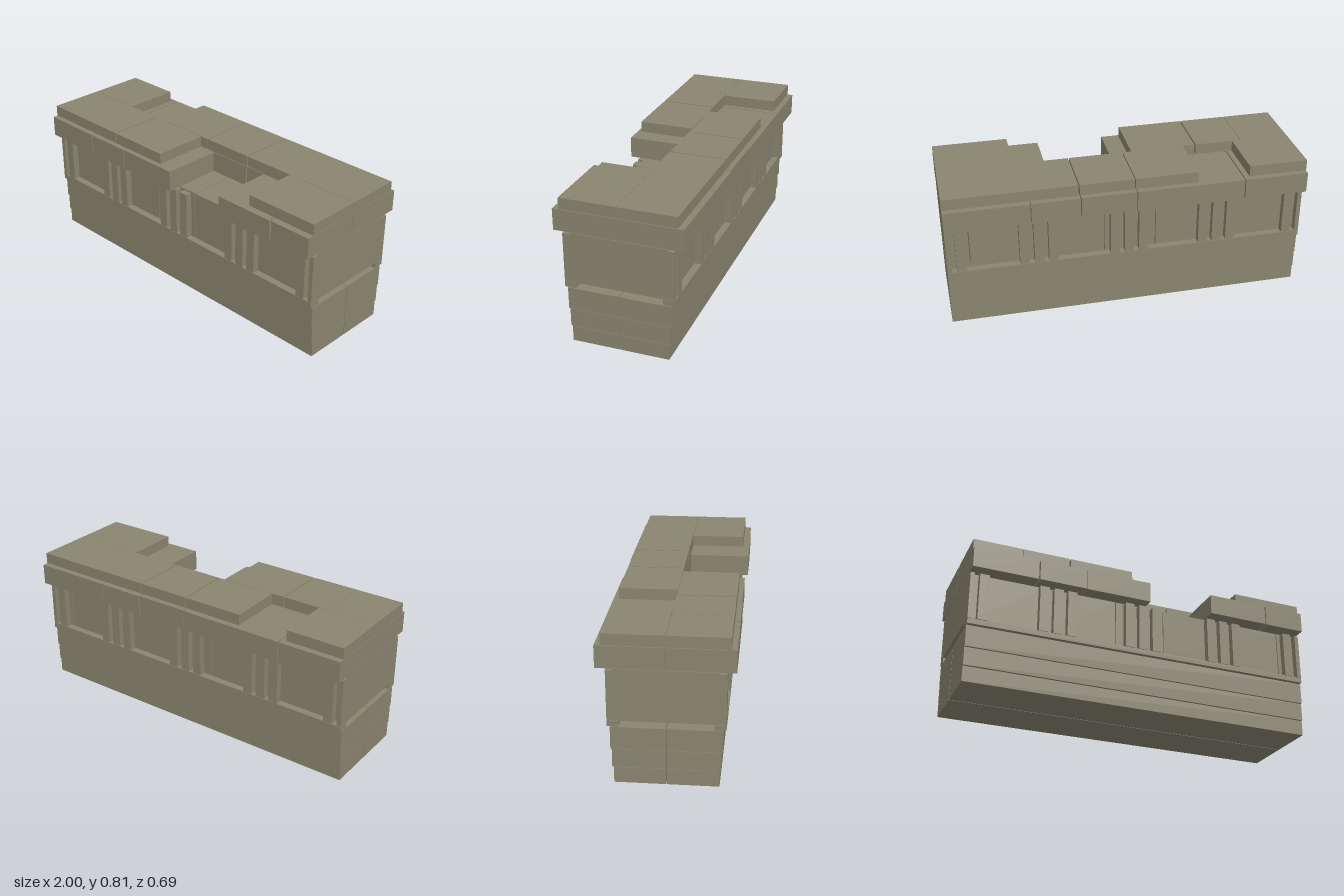
import * as THREE from 'three';

export function createModel() {
  const root = new THREE.Group();
  root.name = 'ruinedEntablature';
  const stone = new THREE.MeshStandardMaterial({ color: 0x8a8570 });
  stone.name = 'weathered stone';

  // Box given by its lower and upper bounds on each axis
  function block(parent, name, x0, x1, y0, y1, z0, z1) {
    const mesh = new THREE.Mesh(new THREE.BoxGeometry(x1 - x0, y1 - y0, z1 - z0), stone);
    mesh.name = name;
    mesh.position.set((x0 + x1) / 2, (y0 + y1) / 2, (z0 + z1) / 2);
    parent.add(mesh);
  }
  function part(name) {
    const group = new THREE.Group();
    group.name = name;
    root.add(group);
    return group;
  }

  // Three stepped beams, each split lengthwise, and the fillet strips above
  const beams = part('architrave');
  for (const side of [-1, 1]) {
    const zRange = (a, b) => (side > 0 ? [a, b] : [-b, -a]);
    block(beams, 'lowerBeam', -0.998, 0.998, 0, 0.086, ...zRange(0.002, 0.265));
    block(beams, 'middleBeam', -0.998, 0.998, 0.088, 0.189, ...zRange(0.002, 0.273));
    block(beams, 'upperBeam', -0.998, 0.998, 0.191, 0.311, ...zRange(0.002, 0.28));
    block(beams, 'fillet', -0.998, 0.998, 0.315, 0.345, ...zRange(0.236, 0.295));
  }

  // Frieze blocks with narrow joints
  const frieze = part('frieze');
  const joints = [-0.998, -0.57, -0.16, 0.13, 0.87, 0.998];
  for (let i = 0; i < joints.length - 1; i++) {
    const last = i === joints.length - 2;
    block(frieze, 'friezeBlock', joints[i] + (i ? 0.002 : 0), joints[i + 1] - (last ? 0 : 0.002),
      0.347, 0.625, -0.258, 0.258);
  }

  // Upright bars in threes, cut off at both ends
  for (const center of [-1, -0.505, -0.005, 0.498, 1]) {
    for (const offset of [-0.08, 0, 0.08]) {
      const x0 = Math.max(-0.998, center + offset - 0.026);
      const x1 = Math.min(0.998, center + offset + 0.026);
      if (x1 <= x0) continue;
      block(frieze, 'frontBar', x0, x1, 0.347, 0.617, 0.25, 0.295);
      block(frieze, 'backBar', x0, x1, 0.347, 0.617, -0.295, -0.25);
    }
  }

  // Broken upper courses: [x start, x end, outer z]
  function course(name, y0, y1, rows) {
    const group = part(name);
    for (const [x0, x1, z] of rows) {
      block(group, name + 'Block', x0 + 0.001, x1 - 0.001, y0, y1,
        z > 0 ? 0.001 : z, z > 0 ? z : -0.001);
    }
  }
  course('cornice', 0.628, 0.745, [
    [-1, -0.635, 0.341], [-0.63, -0.36, 0.341], [-0.358, 0.02, 0.338],
    [0.395, 0.752, 0.346], [0.757, 1, 0.343],
    [-1, -0.642, -0.346], [-0.638, -0.037, -0.346], [-0.035, 0.268, -0.342],
    [0.272, 0.538, -0.346], [0.54, 1, -0.346],
  ]);
  course('cap', 0.748, 0.809, [
    [-1, -0.72, 0.313], [-0.72, -0.455, 0.313], [-0.45, -0.08, 0.313], [0.578, 1, 0.308],
    [-1, -0.67, -0.315], [-0.38, -0.032, -0.315], [-0.028, 0.273, -0.315], [0.277, 1, -0.315],
  ]);

  return root;
}
